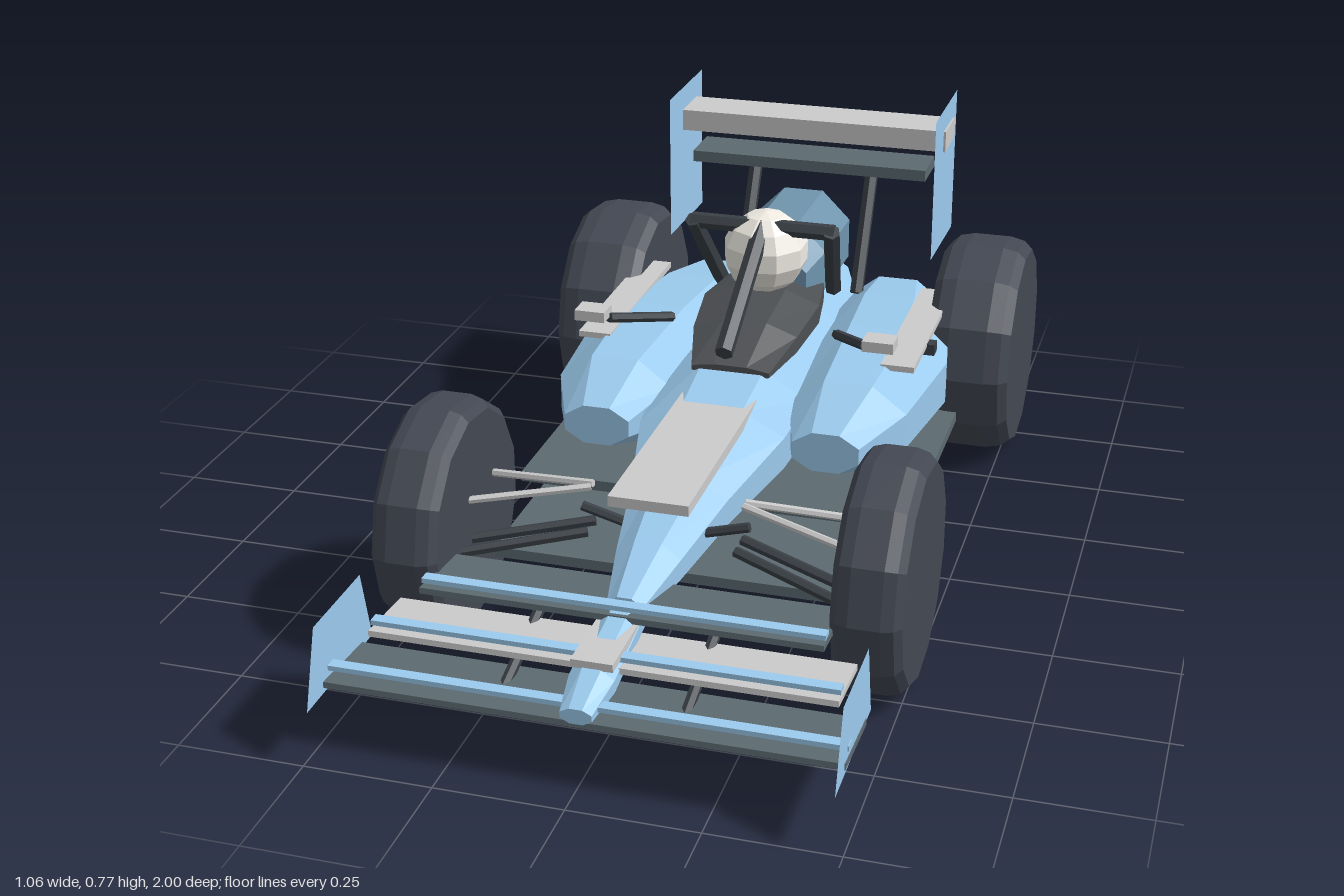
import * as THREE from 'three';

const material = (color, side = THREE.FrontSide) =>
  new THREE.MeshStandardMaterial({ color, flatShading: true, side });
const BLUE = material(0x9ccbee), COVER = material(0x7095ae), GREY = material(0xcccccc);
const FLOOR = material(0x5c6a71), BLACK = material(0x3a4046), SEAT = material(0x4d5053);
const TYRE = material(0x434853), WHITE = material(0xf0ece4);
const PLATE = material(0x9ccbee, THREE.DoubleSide);

export function createModel() {
  const car = new THREE.Group();
  car.name = 'racingCar';

  const add = (name, geometry, mat) => {
    const mesh = new THREE.Mesh(geometry, mat);
    mesh.name = name;
    car.add(mesh);
    return mesh;
  };

  // Box given by its limits on each axis
  const box = (name, mat, x0, x1, y0, y1, z0, z1) => {
    const mesh = add(name, new THREE.BoxGeometry(x1 - x0, y1 - y0, z1 - z0), mat);
    mesh.position.set((x0 + x1) / 2, (y0 + y1) / 2, (z0 + z1) / 2);
    return mesh;
  };

  // Straight rod between two points
  const rod = (name, mat, a, b, r, sides = 6) => {
    const from = new THREE.Vector3(...a), to = new THREE.Vector3(...b);
    const dir = to.clone().sub(from);
    const mesh = add(name, new THREE.CylinderGeometry(r, r, dir.length(), sides), mat);
    mesh.position.copy(from).addScaledVector(dir, 0.5);
    mesh.quaternion.setFromUnitVectors(new THREE.Vector3(0, 1, 0), dir.normalize());
    return mesh;
  };

  // Faceted hull through octagonal sections [z, centreX, bottom, top, halfWidth], front to back
  const hull = (name, mat, sections, sides = 8) => {
    const pos = [], index = [];
    const k = 1 / Math.cos(Math.PI / sides);
    for (const [z, cx, y0, y1, w] of sections) {
      for (let i = 0; i < sides; i++) {
        const a = ((i + 0.5) / sides) * Math.PI * 2;
        pos.push(cx + Math.cos(a) * w * k, (y0 + y1) / 2 + (Math.sin(a) * k * (y1 - y0)) / 2, z);
      }
    }
    const last = (sections.length - 1) * sides;
    for (let s = 0; s < last; s += sides) {
      for (let i = 0; i < sides; i++) {
        const j = (i + 1) % sides;
        index.push(s + i, s + sides + i, s + j, s + j, s + sides + i, s + sides + j);
      }
    }
    for (let i = 1; i < sides - 1; i++) {
      index.push(0, i, i + 1, last, last + i + 1, last + i);
    }
    const geometry = new THREE.BufferGeometry();
    geometry.setAttribute('position', new THREE.Float32BufferAttribute(pos, 3));
    geometry.setIndex(index);
    geometry.computeVertexNormals();
    return add(name, geometry, mat);
  };

  // Upright thin panel in the z-y plane
  const panel = (name, x, points) => {
    const shape = new THREE.Shape(points.map(([z, y]) => new THREE.Vector2(-z, y)));
    const mesh = add(name, new THREE.ShapeGeometry(shape), PLATE);
    mesh.rotation.y = Math.PI / 2;
    mesh.position.x = x;
  };

  const wheel = (name, x, z, r, width) => {
    const h = width / 2;
    const profile = [[0, -h], [r * 0.9, -h], [r * 0.97, -h * 0.8], [r, -h * 0.45],
      [r, h * 0.45], [r * 0.97, h * 0.8], [r * 0.9, h], [0, h]];
    const geometry = new THREE.LatheGeometry(profile.map(p => new THREE.Vector2(...p)), 13);
    const mesh = add(name, geometry, TYRE);
    mesh.rotation.z = Math.PI / 2;
    mesh.position.set(x, r + 0.005, z);
  };

  // Body, nose, cockpit, engine cover
  hull('body', BLUE, [[0.65, 0, 0.18, 0.24, 0.035], [0.5, 0, 0.18, 0.28, 0.065],
    [0.3, 0, 0.19, 0.32, 0.1], [0.06, 0, 0.2, 0.365, 0.155], [-0.1, 0, 0.19, 0.39, 0.165],
    [-0.5, 0, 0.18, 0.4, 0.15], [-0.8, 0, 0.19, 0.36, 0.11], [-0.95, 0, 0.25, 0.33, 0.06]]);
  hull('noseTip', BLUE, [[0.93, 0, 0.14, 0.17, 0.03], [0.84, 0, 0.14, 0.2, 0.043],
    [0.6, 0, 0.18, 0.24, 0.04]]);
  box('nosePad', GREY, -0.04, 0.04, 0.198, 0.214, 0.67, 0.84);
  box('nosePanel', GREY, -0.08, 0.08, 0.345, 0.367, 0, 0.5);
  hull('cockpit', SEAT, [[-0.08, 0, 0.375, 0.4, 0.085], [-0.2, 0, 0.37, 0.455, 0.115],
    [-0.34, 0, 0.38, 0.48, 0.13], [-0.47, 0, 0.38, 0.48, 0.11]]);
  hull('engineCover', COVER, [[-0.4, 0, 0.4, 0.54, 0.085], [-0.48, 0, 0.37, 0.585, 0.11],
    [-0.72, 0, 0.36, 0.58, 0.11], [-0.86, 0, 0.36, 0.48, 0.06]]);

  // Driver helmet
  const helmet = add('helmet', new THREE.SphereGeometry(0.095, 9, 7), WHITE);
  helmet.position.set(0, 0.555, -0.37);
  helmet.scale.set(1, 0.97, 1.05);

  // Cockpit guard
  rod('guardPillar', BLACK, [0, 0.45, -0.03], [0, 0.622, -0.34], 0.02);
  rod('guardBar', BLACK, [-0.16, 0.62, -0.345], [0.16, 0.62, -0.345], 0.018);

  // Floor and diffuser
  box('lowerFloor', FLOOR, -0.385, 0.385, 0.103, 0.125, -0.8, 0.33);
  box('upperFloor', FLOOR, -0.42, 0.42, 0.145, 0.168, -0.8, 0.07);
  box('rearBar', FLOOR, -0.305, 0.305, 0.19, 0.238, -0.99, -0.935);
  for (let i = -2; i <= 2; i++) {
    box('diffuserFin', FLOOR, i * 0.095 - 0.007, i * 0.095 + 0.007, 0.08, 0.16, -1, -0.76);
  }

  // Front wing: three planes, each with a thin strip above
  const frontPlane = (mat, w, y, z0, z1, stripZ, stripY) => {
    box('frontWingPlane', mat, -w, w, y - 0.006, y + 0.006, z0, z1).rotation.x = -0.08;
    box('frontWingStrip', BLUE, -w, w, stripY - 0.005, stripY + 0.005, stripZ - 0.012, stripZ + 0.012);
  };
  frontPlane(FLOOR, 0.485, 0.132, 0.76, 0.93, 0.895, 0.161);
  frontPlane(GREY, 0.445, 0.178, 0.66, 0.81, 0.785, 0.2);
  frontPlane(FLOOR, 0.39, 0.214, 0.53, 0.695, 0.67, 0.235);

  // Rear wing planes
  box('rearWingFlap', GREY, -0.317, 0.317, 0.677, 0.726, -0.9, -0.785);
  box('rearWingPlane', FLOOR, -0.278, 0.278, 0.612, 0.638, -0.87, -0.755);

  // Mirrored parts
  for (const s of [-1, 1]) {
    wheel('frontWheel', s * 0.45, 0.41, 0.236, 0.135);
    wheel('rearWheel', s * 0.437, -0.705, 0.248, 0.187);

    hull('sidepod', BLUE, [[0.08, s * 0.245, 0.26, 0.345, 0.07], [-0.08, s * 0.255, 0.2, 0.39, 0.125],
      [-0.38, s * 0.255, 0.17, 0.395, 0.155], [-0.6, s * 0.235, 0.17, 0.385, 0.14],
      [-0.8, s * 0.215, 0.18, 0.35, 0.11], [-0.9, s * 0.2, 0.21, 0.31, 0.06]]);
    const mid = s * 0.337;
    box('sidepodPanel', GREY, mid - 0.036, mid + 0.036, 0.383, 0.396, -0.64, -0.185);
    box('sidepodFin', BLACK, s * 0.33 - 0.06, s * 0.33 + 0.06, 0.365, 0.39, -0.36, -0.33);

    box('mirror', GREY, s * 0.313 - 0.033, s * 0.313 + 0.033, 0.464, 0.487, -0.138, -0.085);
    rod('mirrorArm', BLACK, [s * 0.28, 0.463, -0.12], [s * 0.185, 0.417, -0.27], 0.011);
    rod('guardLeg', BLACK, [s * 0.155, 0.625, -0.335], [s * 0.13, 0.44, -0.475], 0.019);

    rod('rearWingStrut', BLACK, [s * 0.14, 0.625, -0.83], [s * 0.14, 0.35, -0.68], 0.016);
    panel('rearEndplate', s * 0.312, [[-0.68, 0.45], [-0.68, 0.78], [-0.945, 0.78], [-0.945, 0.44]]);
    panel('frontEndplate', s * 0.483, [[1, 0.122], [0.95, 0.27], [0.75, 0.27], [0.715, 0.122]]);
    rod('frontWingStay', BLACK, [s * 0.172, 0.12, 0.86], [s * 0.172, 0.2, 0.58], 0.011);

    // Front suspension arms
    rod('upperArm', GREY, [s * 0.39, 0.29, 0.32], [s * 0.155, 0.318, 0.365], 0.008);
    rod('upperArm', GREY, [s * 0.39, 0.29, 0.45], [s * 0.155, 0.318, 0.38], 0.008);
    rod('lowerArm', BLACK, [s * 0.39, 0.2, 0.44], [s * 0.15, 0.24, 0.37], 0.011);
    rod('lowerArm', BLACK, [s * 0.39, 0.2, 0.5], [s * 0.15, 0.24, 0.42], 0.011);
    rod('steeringArm', BLACK, [s * 0.17, 0.28, 0.39], [s * 0.06, 0.25, 0.39], 0.01);
  }
  return car;
}
